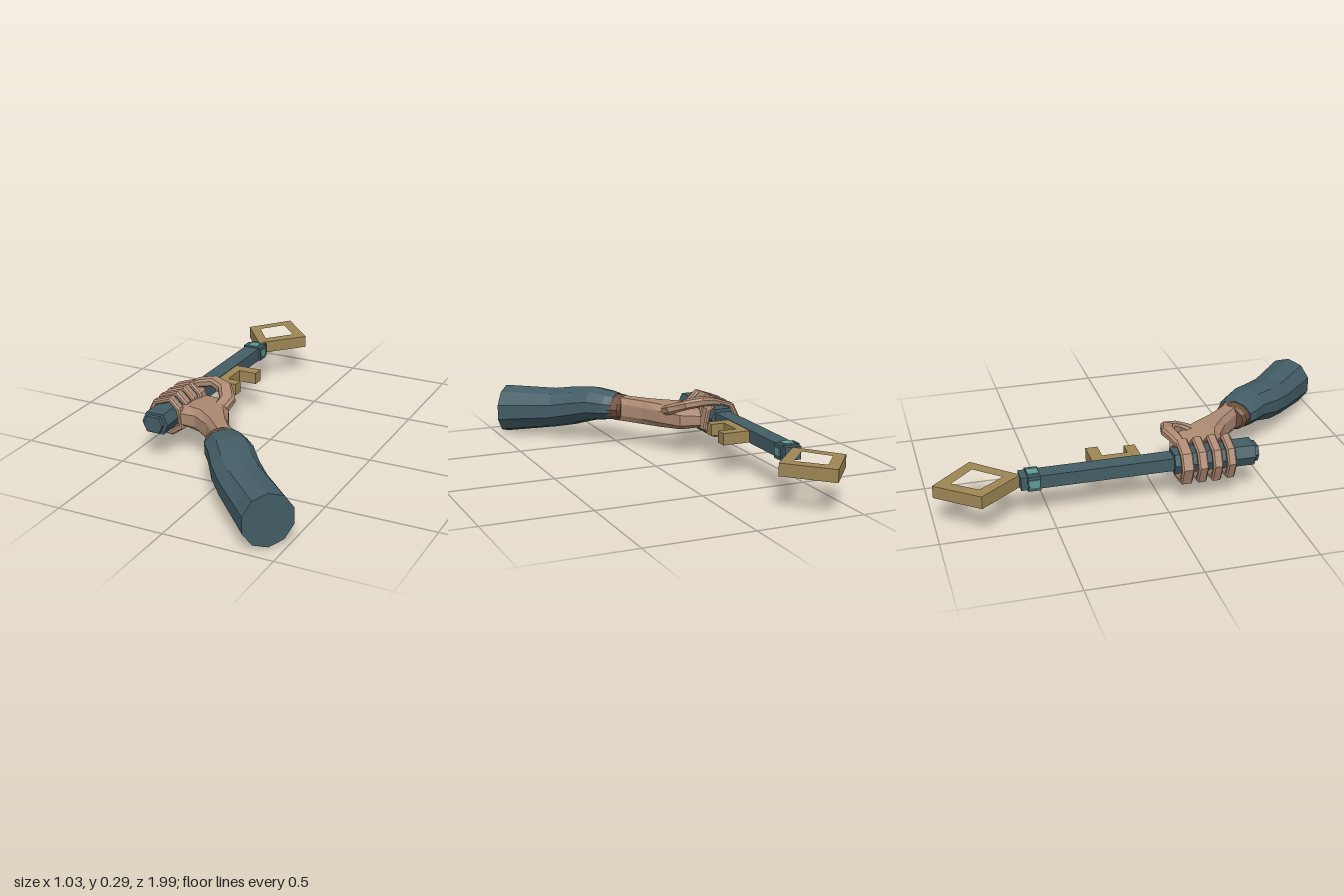
import * as THREE from 'three';

const material = (name, color) => Object.assign(new THREE.MeshStandardMaterial({ color }), { name });

// Cross-section outlines, counter-clockwise, unit half-size
const polygon = (n, turn = 0) => Array.from({ length: n }, (_, i) => {
  const a = (i + turn) / n * Math.PI * 2;
  return [Math.cos(a), Math.sin(a)];
});
const bevelled = [[1, -0.5], [1, 0.5], [0.65, 1], [-0.65, 1], [-1, 0.5], [-1, -0.5], [-0.65, -1], [0.65, -1]];
const hexagon = [[1, 0], [0.65, 1], [-0.65, 1], [-1, 0], [-0.65, -1], [0.65, -1]];

// Faceted solid through sections [x, y, z, halfWidth, halfHeight]
function loft(sections, outline, upright = false) {
  const centres = sections.map(s => new THREE.Vector3(s[0], s[1], s[2]));
  const rings = sections.map((s, i) => {
    const t = centres[Math.min(i + 1, centres.length - 1)].clone().sub(centres[Math.max(i - 1, 0)]);
    if (upright) t.y = 0;
    t.normalize();
    const side = new THREE.Vector3(0, 1, 0).cross(t).normalize();
    const up = t.clone().cross(side);
    return outline.map(([a, b]) => centres[i].clone().addScaledVector(side, a * s[3]).addScaledVector(up, b * s[4]));
  });
  const points = [], n = outline.length, last = rings.length - 1;
  for (let j = 0; j < n; j++) {
    const k = (j + 1) % n;
    for (let i = 0; i < last; i++) {
      const a = rings[i][j], b = rings[i][k], c = rings[i + 1][k], d = rings[i + 1][j];
      points.push(a, b, c, a, c, d);
    }
    points.push(centres[0], rings[0][k], rings[0][j], centres[last], rings[last][j], rings[last][k]);
  }
  const g = new THREE.BufferGeometry().setFromPoints(points);
  g.computeVertexNormals();
  return g;
}

// Flat plate drawn in x and z, spanning a height range
function plate(outline, hole, y0, y1) {
  const toPoints = list => list.map(([x, z]) => new THREE.Vector2(x, -z));
  const shape = new THREE.Shape(toPoints(outline));
  if (hole) shape.holes.push(new THREE.Path(toPoints(hole)));
  return new THREE.ExtrudeGeometry(shape, { depth: y1 - y0, bevelEnabled: false })
    .rotateX(-Math.PI / 2).translate(0, y0, 0);
}

export function createModel() {
  const model = new THREE.Group();
  model.name = 'armHoldingKeyStaff';
  const slate = material('slate', 0x435d66), skin = material('skin', 0xad8a73);
  const gold = material('gold', 0x9e8756), brown = material('brown leather', 0x6d4d38);
  const teal = material('teal', 0x5f9c94);
  const add = (name, geometry, mat, parent = model) => {
    const mesh = new THREE.Mesh(geometry, mat);
    mesh.name = name;
    parent.add(mesh);
    return mesh;
  };
  const box = (name, w, h, d, x, y, z, mat, parent) =>
    add(name, new THREE.BoxGeometry(w, h, d).translate(x, y, z), mat, parent);
  const X = -0.37, Y = 0.18;

  // Staff: shaft, hexagonal grip and pommel
  box('shaft', 0.078, 0.06, 0.7, X, Y, -0.28, slate);
  add('grip', loft([[X, Y, 0.05, 0.06, 0.046], [X, Y, 0.42, 0.065, 0.048]], hexagon), slate);
  add('pommel', loft([[X, Y, 0.41, 0.048, 0.036], [X, Y, 0.44, 0.048, 0.036]], hexagon), slate);

  // Collar with an inlay on each of its four sides
  const collar = new THREE.Group();
  collar.name = 'collar';
  model.add(collar);
  box('collarBand', 0.094, 0.068, 0.056, X, Y, -0.573, slate, collar);
  for (const s of [-1, 1]) {
    box('collarInlay', 0.05, 0.006, 0.05, X, Y + s * 0.036, -0.573, teal, collar);
    box('collarSideInlay', 0.006, 0.036, 0.044, X + s * 0.048, Y, -0.573, teal, collar);
  }

  // Key bow and bit
  add('keyBow', plate([[X, -1], [-0.195, -0.815], [X, -0.625], [-0.52, -0.815]],
    [[X, -0.92], [-0.267, -0.815], [X, -0.7], [-0.455, -0.815]], 0.151, 0.208), gold);
  add('keyBit', plate([[-0.34, -0.3], [-0.2, -0.3], [-0.2, -0.245], [-0.288, -0.245], [-0.288, -0.13],
    [-0.223, -0.13], [-0.223, -0.08], [-0.34, -0.08]], null, 0.152, 0.207), gold);

  // Fingers curled around the grip
  const outer = [[-0.3, 0.225], [-0.35, 0.272], [-0.44, 0.24], [-0.472, 0.175], [-0.44, 0.094], [-0.34, 0.082], [-0.28, 0.125]];
  const inset = ([x, y], k) => new THREE.Vector2(X + (x - X) * k, Y + (y - Y) * k);
  const bevel = 0.007;
  [[0.098, 0.055, 1], [0.168, 0.045, 1.01], [0.235, 0.045, 1.02], [0.3, 0.042, 0.97]].forEach(([z, w, size]) => {
    const shape = new THREE.Shape(outer.map(p => inset(p, 0.92 * size)));
    shape.holes.push(new THREE.Path(outer.map(p => inset(p, 0.79 * size))));
    const g = new THREE.ExtrudeGeometry(shape, {
      depth: w - 2 * bevel, bevelEnabled: true, bevelSize: bevel, bevelThickness: bevel, bevelSegments: 1
    });
    add('finger', g.translate(0, 0, z - w / 2 + bevel), skin);
  });

  // Palm narrowing to the wrist
  add('palm', loft([
    [-0.3, 0.173, 0.19, 0.125, 0.043], [-0.23, 0.175, 0.21, 0.125, 0.052], [-0.165, 0.176, 0.265, 0.08, 0.056],
    [-0.095, 0.176, 0.345, 0.05, 0.058], [-0.035, 0.178, 0.415, 0.042, 0.058], [0.01, 0.18, 0.465, 0.045, 0.058]
  ], bevelled, true), skin);

  // Thumb arching over the grip
  add('thumb', loft([
    [-0.155, 0.205, 0.2, 0.036, 0.024], [-0.15, 0.228, 0.14, 0.036, 0.024], [-0.195, 0.258, 0.082, 0.034, 0.022],
    [-0.26, 0.27, 0.063, 0.031, 0.021], [-0.32, 0.262, 0.08, 0.027, 0.019], [-0.365, 0.247, 0.095, 0.022, 0.015]
  ], bevelled), skin);

  // Leather cuff and sleeve
  add('cuff', loft([
    [-0.027, 0.181, 0.438, 0.068, 0.052], [-0.018, 0.181, 0.447, 0.08, 0.062], [0.022, 0.182, 0.487, 0.086, 0.066]
  ], polygon(12), true), brown);
  add('sleeve', loft([
    [0.002, 0.183, 0.472, 0.086, 0.066], [0.03, 0.185, 0.5, 0.1, 0.073], [0.085, 0.185, 0.56, 0.104, 0.085],
    [0.155, 0.162, 0.65, 0.108, 0.097], [0.23, 0.143, 0.725, 0.11, 0.1], [0.434, 0.119, 0.911, 0.117, 0.12]
  ], polygon(10, 0.5), true), slate);

  return model;
}
